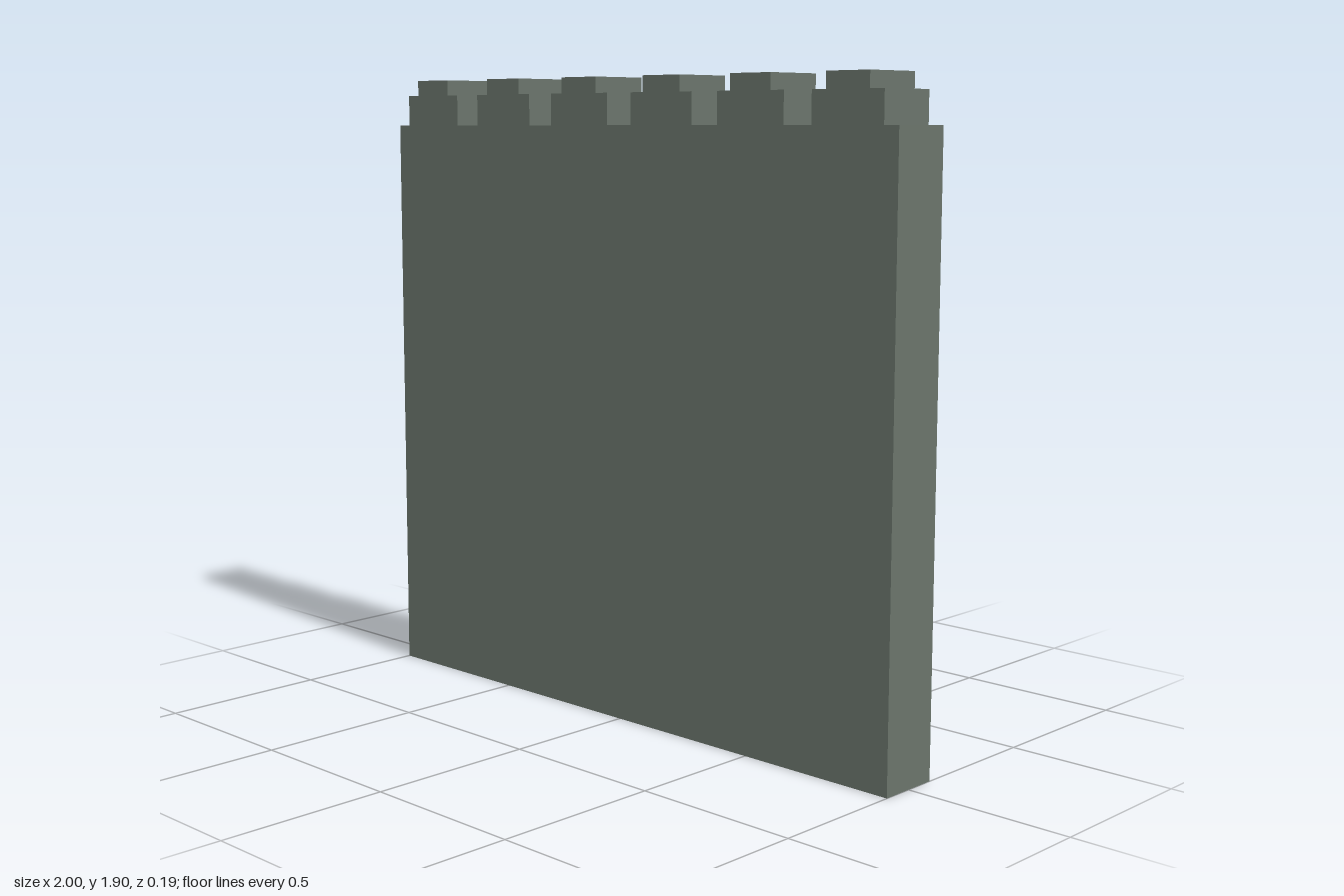
import * as THREE from 'three';

const DEPTH = 0.19;
const WALL_TOP = 1.765, STEP_TOP = 1.858, MERLON_TOP = 1.905;
const MERLONS = 6, PITCH = 2 / MERLONS;
const STEP_HALF = 0.119, TOP_HALF = 0.072;

export function createModel() {
  const stone = new THREE.MeshStandardMaterial({ color: 0x6a746b });
  stone.name = 'grey green stone';

  // Wall outline, with a row of stepped merlons along the top
  const outline = new THREE.Shape();
  outline.moveTo(-1, 0);
  outline.lineTo(1, 0);
  outline.lineTo(1, WALL_TOP);
  for (let i = MERLONS - 1; i >= 0; i--) {
    const x = -1 + (i + 0.5) * PITCH;
    outline.lineTo(x + STEP_HALF, WALL_TOP);
    outline.lineTo(x + STEP_HALF, STEP_TOP);
    outline.lineTo(x + TOP_HALF, STEP_TOP);
    outline.lineTo(x + TOP_HALF, MERLON_TOP);
    outline.lineTo(x - TOP_HALF, MERLON_TOP);
    outline.lineTo(x - TOP_HALF, STEP_TOP);
    outline.lineTo(x - STEP_HALF, STEP_TOP);
    outline.lineTo(x - STEP_HALF, WALL_TOP);
  }
  outline.lineTo(-1, WALL_TOP);
  outline.closePath();

  const geometry = new THREE.ExtrudeGeometry(outline, { depth: DEPTH, bevelEnabled: false });
  geometry.translate(0, 0, -DEPTH / 2);

  const wall = new THREE.Mesh(geometry, stone);
  wall.name = 'battlementWall';

  const model = new THREE.Group();
  model.name = 'castleWall';
  model.add(wall);
  return model;
}
